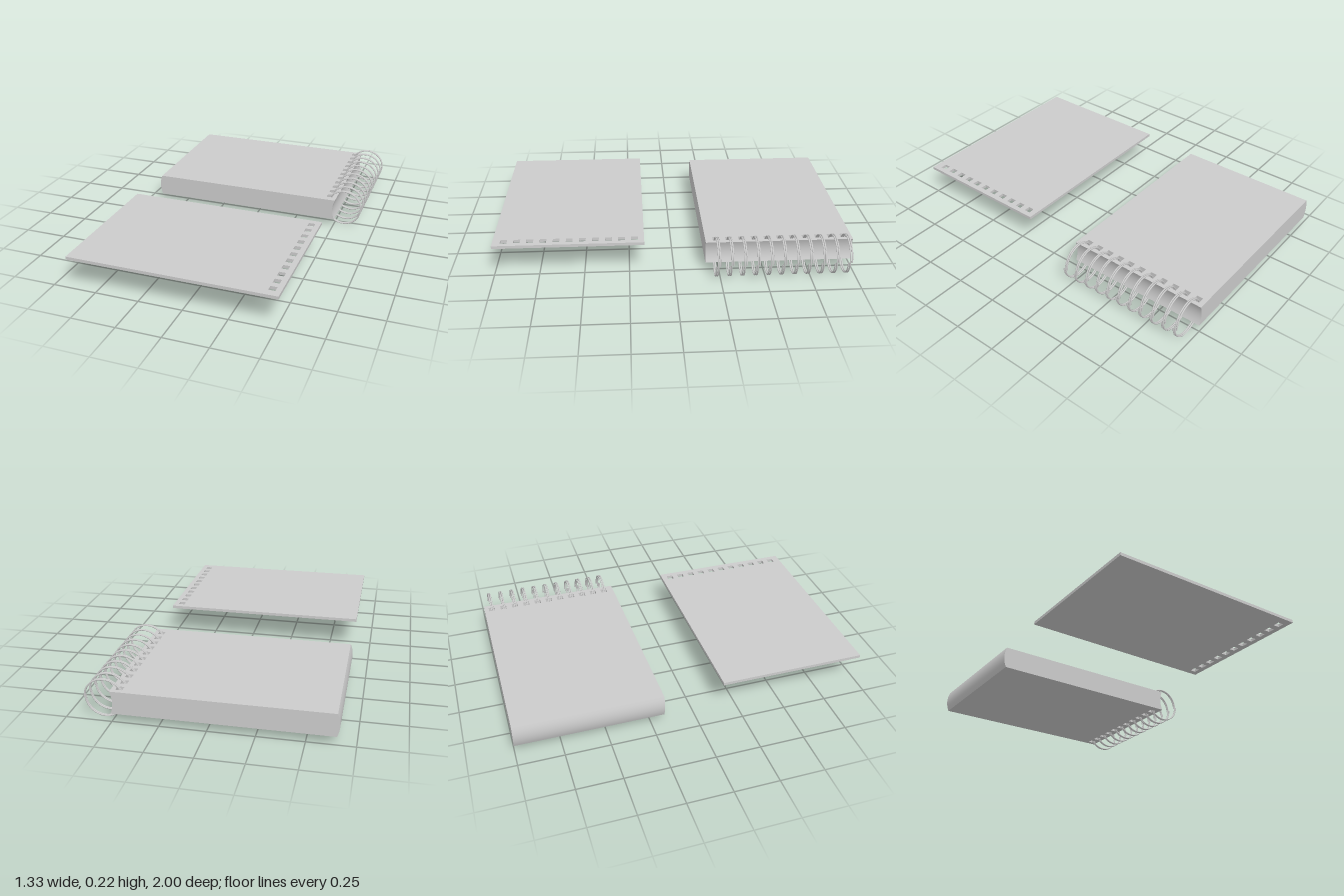
import * as THREE from 'three';
import { toCreasedNormals } from 'three/addons/utils/BufferGeometryUtils.js';

const COUNT = 11, PITCH = 0.072, HOLE = 0.037, HOLE_X = 0.462;
const material = new THREE.MeshStandardMaterial({ color: 0xcccccc, side: THREE.DoubleSide });

// Rectangle in plan with a row of square punched holes, raised from y0 to y1
function punchedSheet(x0, x1, z0, z1, y0, y1, firstHoleZ, steps) {
  const rect = (Type, a, b, c, d) => new Type([[a, -c], [b, -c], [b, -d], [a, -d]].map(p => new THREE.Vector2(...p)));
  const shape = rect(THREE.Shape, x0, x1, z0, z1);
  for (let i = 0; i < COUNT; i++) {
    const z = firstHoleZ + i * PITCH;
    shape.holes.push(rect(THREE.Path, HOLE_X - HOLE / 2, HOLE_X + HOLE / 2, z - HOLE / 2, z + HOLE / 2));
  }
  const geo = new THREE.ExtrudeGeometry(shape, { depth: y1 - y0, steps, bevelEnabled: false });
  return geo.rotateX(-Math.PI / 2).translate(0, y0, 0);
}

// Small double-turn wire loop, centred on its own axis along z
class WireLoop extends THREE.Curve {
  getPoint(t, target = new THREE.Vector3()) {
    const a = t * Math.PI * 4;
    return target.set(Math.cos(a) * 0.1055, Math.sin(a) * 0.1055, (t - 0.5) * 0.02);
  }
}

export function createModel() {
  const group = new THREE.Group();
  const add = (name, geo, parent = group) => {
    const mesh = new THREE.Mesh(geo, material);
    mesh.name = name;
    parent.add(mesh);
    return mesh;
  };

  // Loose cover
  add('cover', punchedSheet(-0.66, 0.51, 0.165, 1, 0.173, 0.19, 0.218, 1));

  // Page block: outer end bulges, bound end is hollowed to match
  const y0 = 0.046, y1 = 0.173;
  const block = punchedSheet(-0.652, 0.505, -1, -0.175, y0, y1, -0.955, 10);
  const pos = block.attributes.position;
  for (let i = 0; i < pos.count; i++) {
    const x = pos.getX(i);
    if (x < -0.6 || x > 0.49) {
      const t = (pos.getY(i) - y0) / (y1 - y0) * 2 - 1;
      pos.setX(i, x - 0.014 * (1 - t * t));
    }
  }
  block.computeVertexNormals();
  add('pageBlock', toCreasedNormals(block, 0.5));

  // Binding rings through the holes
  const binding = new THREE.Group();
  binding.name = 'binding';
  group.add(binding);
  const wire = new THREE.TubeGeometry(new WireLoop(), 120, 0.004, 8, false);
  for (let i = 0; i < COUNT; i++) {
    add('bindingRing', wire, binding).position.set(0.551, 0.11, -0.951 + i * PITCH);
  }
  return group;
}
